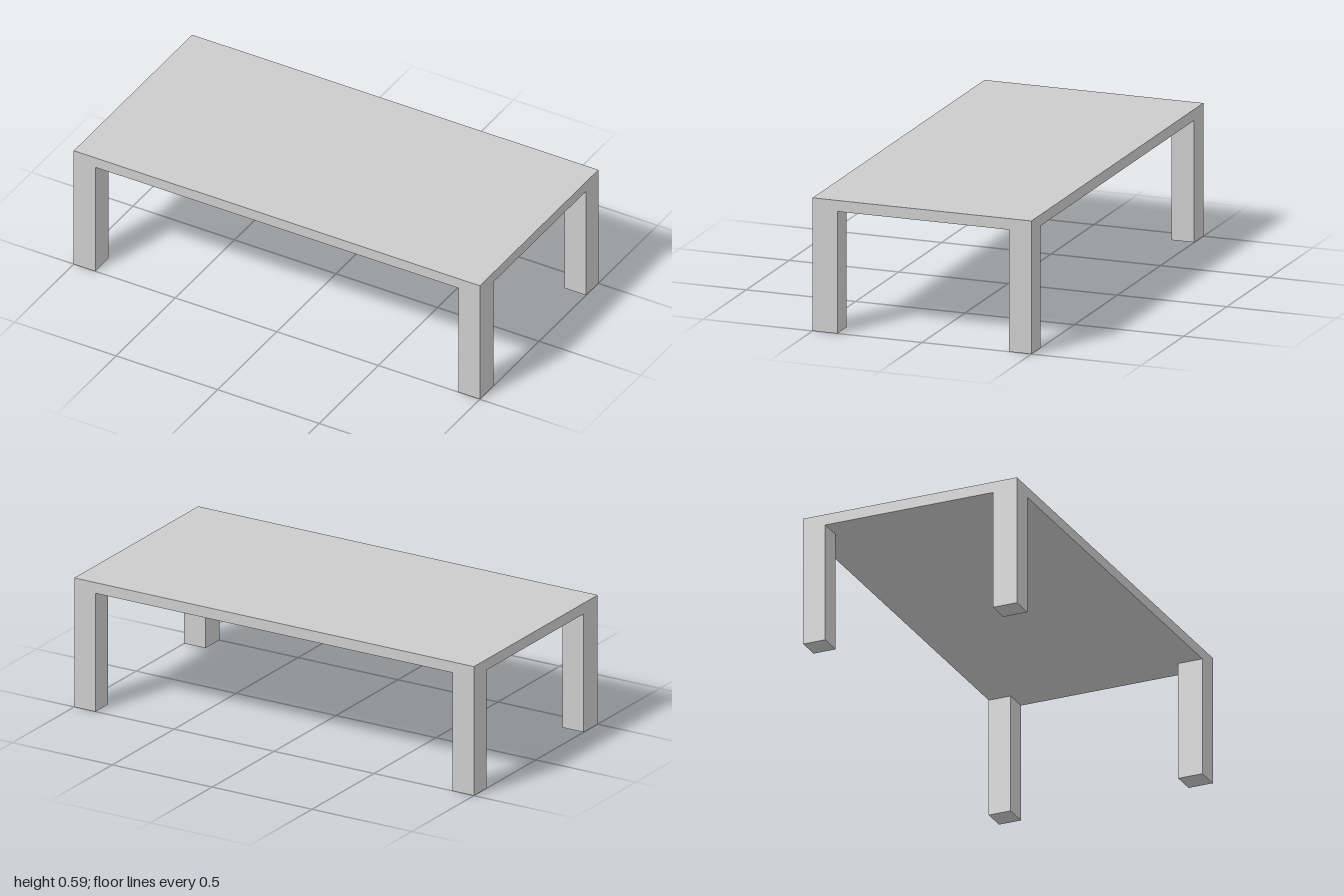
import * as THREE from 'three';

const WIDTH = 2, DEPTH = 1, HEIGHT = 0.588, TOP = 0.049;
const LEG_WIDTH = 0.106, FRONT_LEG_DEPTH = 0.113, BACK_LEG_DEPTH = 0.103;

export function createModel() {
  const table = new THREE.Group();
  table.name = 'table';
  const material = new THREE.MeshStandardMaterial({ color: 0xcccccc });

  const addBox = (name, w, h, d, x, y, z) => {
    const mesh = new THREE.Mesh(new THREE.BoxGeometry(w, h, d), material);
    mesh.name = name;
    mesh.position.set(x, y, z);
    table.add(mesh);
  };

  // Thin slab top
  addBox('tableTop', WIDTH, TOP, DEPTH, 0, HEIGHT - TOP / 2, 0);

  // Four legs flush with the corners; the front pair is slightly deeper
  const legHeight = HEIGHT - TOP;
  for (const [end, zSign, depth] of [['front', 1, FRONT_LEG_DEPTH], ['back', -1, BACK_LEG_DEPTH]]) {
    for (const [side, xSign] of [['Left', 1], ['Right', -1]]) {
      addBox(`${end}${side}Leg`, LEG_WIDTH, legHeight, depth,
        xSign * (WIDTH - LEG_WIDTH) / 2, legHeight / 2, zSign * (DEPTH - depth) / 2);
    }
  }
  return table;
}
